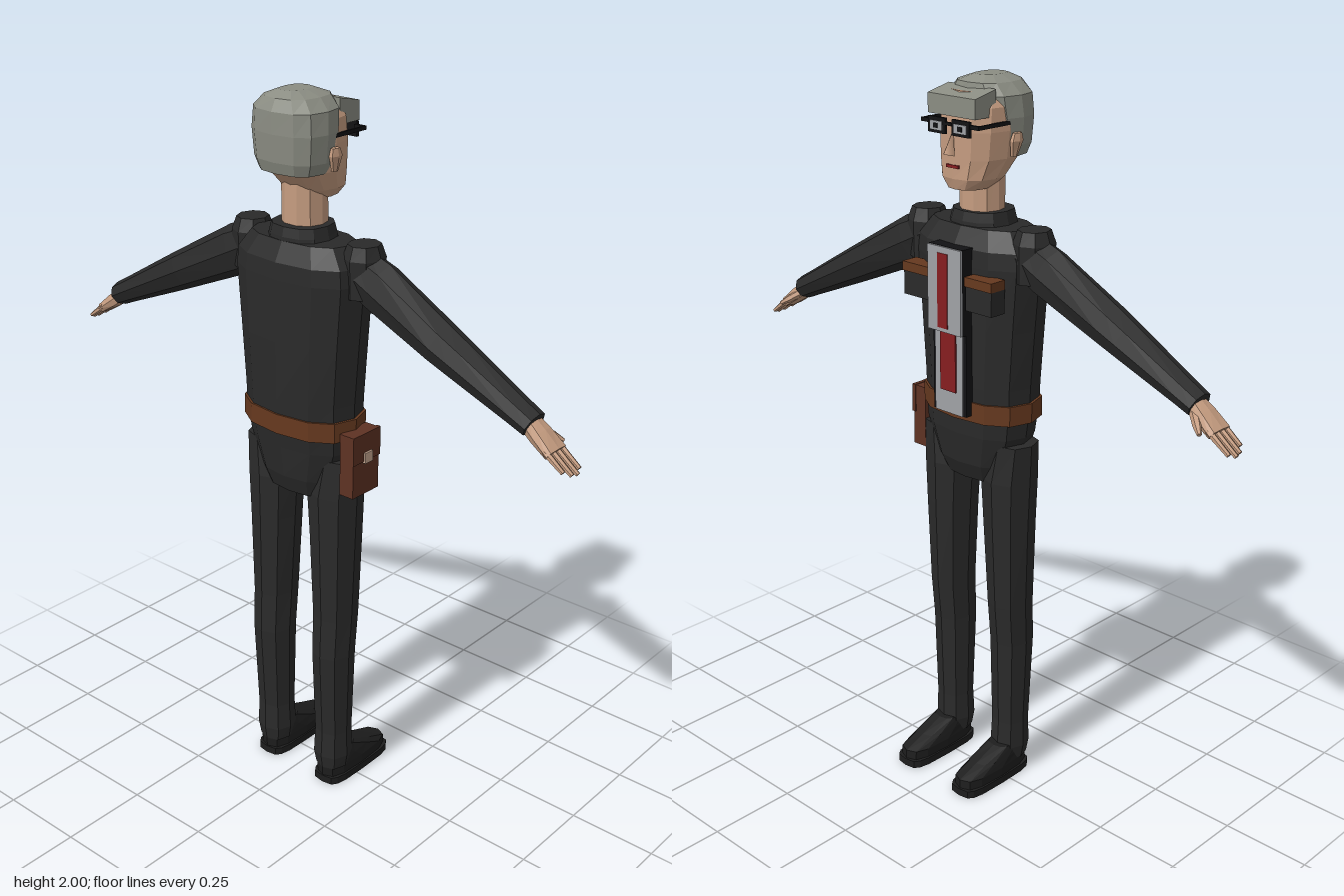
import * as THREE from 'three';

const mat = (name, color) => new THREE.MeshStandardMaterial({ name, color });

// Faceted loft through rising rings [y, centreX, centreZ, radiusX, radiusZ]; power > 2 squares the section
function loft(rings, n = 12, power = 2.4) {
  const pos = [], idx = [];
  const bend = (v) => Math.sign(v) * Math.pow(Math.abs(v), 2 / power);
  for (const [y, cx, cz, rx, rz] of rings) {
    for (let j = 0; j < n; j++) {
      const a = (j / n) * Math.PI * 2;
      pos.push(cx + rx * bend(Math.cos(a)), y, cz + rz * bend(Math.sin(a)));
    }
  }
  for (let i = 0; i < rings.length - 1; i++) {
    for (let j = 0; j < n; j++) {
      const a = i * n + j, b = i * n + ((j + 1) % n);
      idx.push(a, a + n, b, b, a + n, b + n);
    }
  }
  // End caps
  const last = (rings.length - 1) * n;
  for (let j = 1; j < n - 1; j++) idx.push(0, j, j + 1, last, last + j + 1, last + j);
  const indexed = new THREE.BufferGeometry();
  indexed.setAttribute('position', new THREE.Float32BufferAttribute(pos, 3));
  indexed.setIndex(idx);
  const geo = indexed.toNonIndexed();
  geo.computeVertexNormals();
  return geo;
}

export function createModel() {
  const root = new THREE.Group();
  root.name = 'figure';
  const suit = mat('black cloth', 0x2a2a2a);
  const shoeBlack = mat('shoe black', 0x1e1e1e);
  const skin = mat('skin', 0xc59c80);
  const grey = mat('grey hair', 0x8b8d83);
  const leather = mat('belt leather', 0x66391f);
  const pouchBrown = mat('pouch leather', 0x5e3223);
  const silver = mat('silver panel', 0xa0a2a6);
  const red = mat('red', 0x861d20);
  const black = mat('frame black', 0x121214);
  const buckle = mat('buckle tan', 0xc9a992);

  const add = (name, geo, material, parent = root) => {
    const m = new THREE.Mesh(geo, material);
    m.name = name;
    parent.add(m);
    return m;
  };
  const box = (name, material, w, h, d, x, y, z, parent = root) => {
    const m = add(name, new THREE.BoxGeometry(w, h, d), material, parent);
    m.position.set(x, y, z);
    return m;
  };

  // Body
  add('torso', loft([
    [1.13, 0, 0.047, 0.172, 0.108], [1.2, 0, 0.047, 0.174, 0.11], [1.36, 0, 0.047, 0.186, 0.112],
    [1.53, 0, 0.047, 0.2, 0.113], [1.575, 0, 0.047, 0.195, 0.11], [1.625, 0, 0.048, 0.155, 0.083],
  ]), suit);
  add('pelvis', loft([
    [0.92, 0, 0.045, 0.11, 0.07], [0.97, 0, 0.043, 0.13, 0.09],
    [1.06, 0, 0.042, 0.165, 0.102], [1.13, 0, 0.045, 0.172, 0.108],
  ]), suit);
  add('belt', loft([[1.105, 0, 0.047, 0.18, 0.114], [1.16, 0, 0.047, 0.18, 0.114]]), leather);
  add('collar', loft([[1.6, 0, 0.05, 0.095, 0.082], [1.635, 0, 0.05, 0.086, 0.08], [1.66, 0, 0.05, 0.08, 0.074]]), suit);
  add('neck', loft([[1.62, 0, 0.044, 0.06, 0.056], [1.8, 0, 0.044, 0.058, 0.056]], 10, 2.2), skin);

  // Belt pouch
  box('pouch', pouchBrown, 0.045, 0.175, 0.105, 0.19, 1.043, 0.045);
  box('pouchFlap', pouchBrown, 0.012, 0.08, 0.11, 0.21, 1.092, 0.045);
  box('pouchClasp', buckle, 0.008, 0.03, 0.03, 0.218, 1.063, 0.043);

  // Chest panel
  box('upperPanelBacking', black, 0.12, 0.23, 0.04, 0, 1.465, -0.073);
  box('upperPanel', silver, 0.12, 0.228, 0.006, 0, 1.465, -0.096);
  box('upperRedStripe', red, 0.036, 0.2, 0.004, 0.005, 1.462, -0.099);
  box('lowerPanelBacking', black, 0.12, 0.235, 0.025, 0, 1.24, -0.066);
  box('lowerPanel', silver, 0.1, 0.235, 0.006, 0, 1.24, -0.08);
  box('lowerRedStripe', red, 0.056, 0.165, 0.006, 0, 1.268, -0.084);
  box('panelFoot', silver, 0.03, 0.02, 0.012, 0, 1.13, -0.072);

  // Head
  add('head', loft([
    [1.722, 0, 0.0, 0.052, 0.058], [1.75, 0, 0.01, 0.08, 0.076], [1.8, 0, 0.034, 0.095, 0.1],
    [1.87, 0, 0.038, 0.1, 0.104], [1.93, 0, 0.045, 0.098, 0.106], [1.967, 0, 0.05, 0.075, 0.09],
  ], 12, 2.3), skin);
  add('hair', loft([
    [1.8, 0, 0.08, 0.092, 0.072], [1.83, 0, 0.081, 0.104, 0.08], [1.9, 0, 0.08, 0.11, 0.086],
    [1.955, 0, 0.075, 0.105, 0.09], [1.985, 0, 0.07, 0.075, 0.08], [2, 0, 0.075, 0.035, 0.045],
  ], 12, 2.6), grey);
  // Swept fringe, with its front edge pulled down
  const fringe = new THREE.BoxGeometry(0.165, 0.05, 0.075);
  const p = fringe.attributes.position;
  for (let i = 0; i < p.count; i++) if (p.getZ(i) > 0 && p.getY(i) > 0) p.setY(i, 0.042);
  fringe.computeVertexNormals();
  add('fringe', fringe, grey).position.set(0, 1.933, -0.032);
  const nose = add('nose', new THREE.ConeGeometry(0.02, 0.065, 4), skin);
  nose.position.set(0, 1.843, -0.07);
  nose.rotation.x = 0.25;
  box('mouth', red, 0.042, 0.008, 0.008, 0, 1.782, -0.064);
  box('glassesBridge', black, 0.024, 0.008, 0.008, 0, 1.89, -0.078);

  for (const s of [-1, 1]) {
    const side = new THREE.Group();
    side.name = s > 0 ? 'leftSide' : 'rightSide';
    root.add(side);

    // Ears, glasses and sideburns
    add('ear', loft([[1.805, 0.104 * s, 0.05, 0.007, 0.01], [1.845, 0.11 * s, 0.053, 0.011, 0.022],
      [1.865, 0.11 * s, 0.055, 0.008, 0.015]], 6, 2), skin, side);
    box('glassesFrame', black, 0.06, 0.04, 0.008, 0.042 * s, 1.883, -0.076, side);
    box('lens', silver, 0.042, 0.022, 0.004, 0.042 * s, 1.882, -0.08, side);
    box('eye', black, 0.014, 0.012, 0.004, 0.042 * s, 1.882, -0.082, side);
    box('glassesTemple', black, 0.006, 0.01, 0.12, 0.097 * s, 1.89, -0.01, side);
    box('glassesHinge', black, 0.034, 0.01, 0.008, 0.083 * s, 1.89, -0.072, side);

    // Chest pocket with flap
    box('pocket', suit, 0.09, 0.085, 0.05, 0.113 * s, 1.465, -0.064, side);
    box('pocketFlap', leather, 0.094, 0.025, 0.052, 0.113 * s, 1.5, -0.067, side);

    // Shoulder and arm
    add('shoulder', loft([[1.5, 0.19 * s, 0.035, 0.05, 0.055], [1.6, 0.19 * s, 0.035, 0.055, 0.057],
      [1.635, 0.19 * s, 0.035, 0.042, 0.045]], 8, 2), suit, side);
    const arm = new THREE.Group();
    arm.name = 'arm';
    arm.position.set(0.17 * s, 1.568, 0);
    arm.rotation.z = -s * 2.025;
    side.add(arm);
    add('sleeve', loft([[0, 0, 0.035, 0.062, 0.052], [0.08, 0, 0.034, 0.07, 0.055], [0.3, 0, 0.04, 0.056, 0.055],
      [0.36, 0, 0.04, 0.052, 0.052], [0.56, 0, 0.04, 0.037, 0.042], [0.61, 0, 0.04, 0.034, 0.04]], 8, 2), suit, arm);

    // Hand, palm down
    const hand = new THREE.Group();
    hand.name = 'hand';
    hand.position.set(0.705 * s, 1.302, 0.038);
    hand.rotation.z = -s * 2.2;
    side.add(hand);
    add('palm', loft([[0, 0, 0, 0.022, 0.027], [0.04, 0, 0, 0.021, 0.034], [0.095, 0, 0, 0.015, 0.04]], 8, 3), skin, hand);
    [0.062, 0.073, 0.068, 0.052].forEach((len, i) => {
      const z = -0.029 + i * 0.0195;
      add('finger', loft([[0.08, 0, z, 0.01, 0.009], [0.095 + len, 0, z, 0.006, 0.007]], 6, 2), skin, hand);
    });
    const thumb = add('thumb', loft([[0, 0, 0, 0.012, 0.012], [0.04, 0, 0, 0.011, 0.011], [0.068, 0, 0, 0.006, 0.006]], 6, 2), skin, hand);
    thumb.position.set(s * 0.005, 0.022, -0.02);
    thumb.rotation.x = -0.6;

    // Leg
    add('leg', loft([
      [0.05, 0.11 * s, 0.05, 0.046, 0.048], [0.09, 0.11 * s, 0.051, 0.053, 0.053], [0.17, 0.111 * s, 0.051, 0.05, 0.05],
      [0.43, 0.112 * s, 0.053, 0.056, 0.06], [0.55, 0.112 * s, 0.045, 0.058, 0.063],
      [0.8, 0.109 * s, 0.042, 0.068, 0.07], [0.93, 0.107 * s, 0.042, 0.075, 0.073], [1.04, 0.122 * s, 0.042, 0.064, 0.064],
    ], 8, 2.3), suit, side);

    // Shoe
    add('sole', loft([[0, 0.11 * s, -0.032, 0.05, 0.132], [0.022, 0.11 * s, -0.032, 0.05, 0.132]], 16, 4), shoeBlack, side);
    add('shoeUpper', loft([[0.022, 0.11 * s, -0.031, 0.046, 0.128], [0.048, 0.11 * s, -0.03, 0.046, 0.128],
      [0.072, 0.11 * s, 0.002, 0.043, 0.093], [0.1, 0.11 * s, 0.036, 0.038, 0.054]], 12, 3), shoeBlack, side);
    for (const k of [0, 1]) {
      const lace = box('lace', silver, 0.03, 0.004, 0.006, 0.11 * s, 0.082 - k * 0.011, -0.042 - k * 0.022, side);
      lace.rotation.x = -0.5;
    }
  }
  return root;
}
